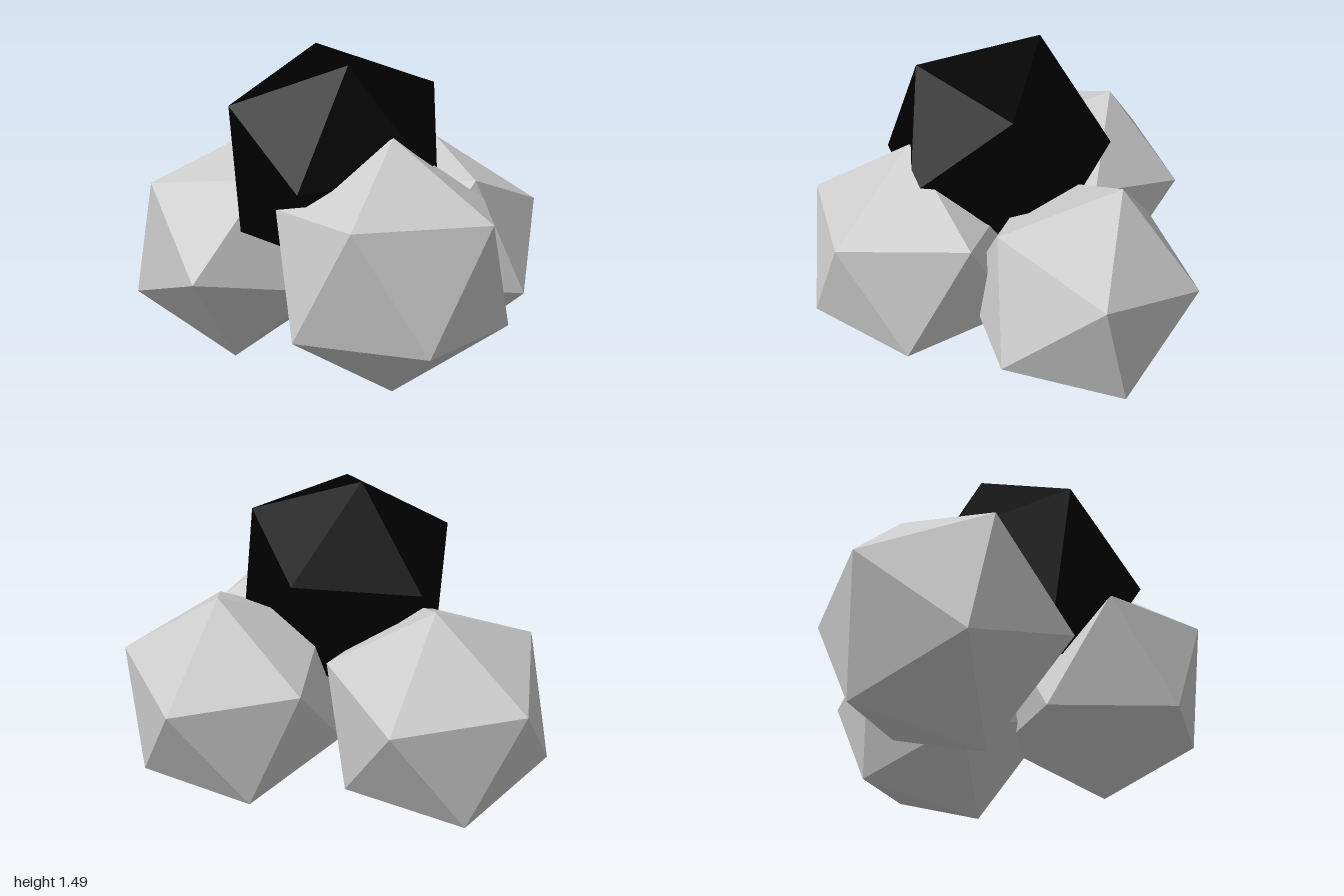
import * as THREE from 'three';

const RADIUS = 0.541;

// Faceted rock: a regular icosahedron turned so that two neighbouring corners
// point along the directions u and v.
function rock(name, color, centre, u, v) {
  const a = new THREE.Vector3(...u).normalize();
  const b = new THREE.Vector3(...v).normalize();
  const yAxis = a.clone().add(b).normalize();
  const zAxis = a.clone().sub(b).cross(yAxis).normalize();
  const xAxis = yAxis.clone().cross(zAxis);

  const mesh = new THREE.Mesh(
    new THREE.IcosahedronGeometry(RADIUS, 0),
    new THREE.MeshStandardMaterial({ color, flatShading: true })
  );
  mesh.name = name;
  mesh.quaternion.setFromRotationMatrix(new THREE.Matrix4().makeBasis(xAxis, yAxis, zAxis));
  mesh.position.set(...centre);
  return mesh;
}

export function createModel() {
  const group = new THREE.Group();
  group.name = 'rockPile';
  const grey = 0xcccccc;

  // Two base rocks share one tilt
  const tiltU = [0.11, 0.512, -0.14];
  const tiltV = [0.45, 0.218, 0.205];

  group.add(
    rock('frontRock', grey, [-0.21, 0.586, 0.54], [0, 1, 0], [2, 1, 0]),
    rock('leftRock', grey, [0.38, 0.512, 0.05], tiltU, tiltV),
    rock('backRock', grey, [-0.39, 0.512, -0.495], tiltU, tiltV),
    // Dark rock resting on the other three
    rock('topRock', 0x000000, [-0.2, 0.997, 0.1], [0.029, 0.488, -0.228], [0.4, 0.323, 0.17])
  );
  return group;
}
